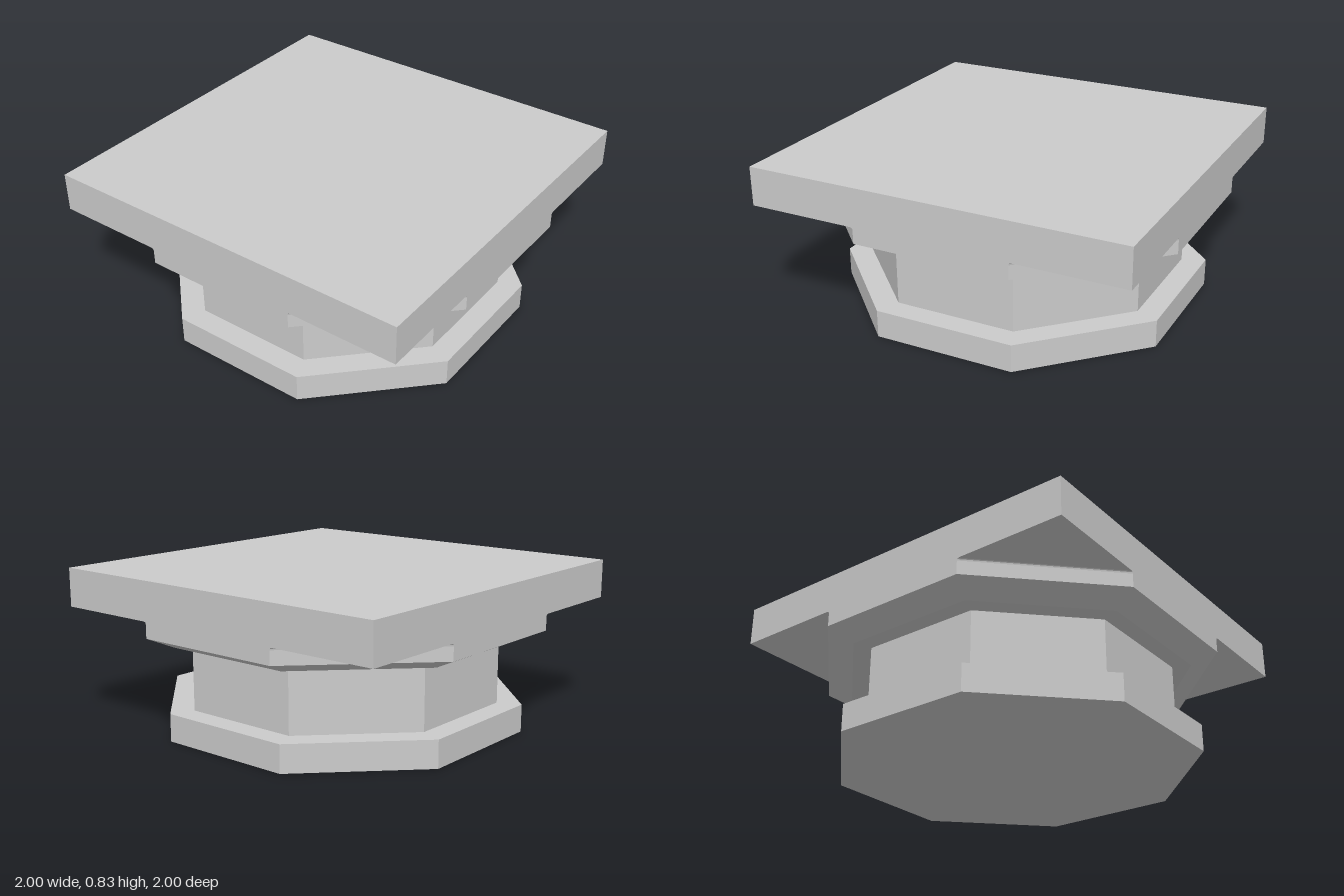
import * as THREE from 'three';

const T = Math.tan(Math.PI / 8); // half side / apothem of a regular octagon

// Closed solid through octagonal rings [y, apothem, half side], bottom to top
function octagonLoft(rings) {
  const loops = rings.map(([y, a, h = a * T]) =>
    [[h, a], [a, h], [a, -h], [h, -a], [-h, -a], [-a, -h], [-a, h], [-h, a]].map(([x, z]) => [x, y, z]));
  const pos = [];
  const tri = (...pts) => pts.forEach((p) => pos.push(...p));
  const low = loops[0], high = loops[loops.length - 1];
  for (let i = 0; i < 8; i++) {
    const j = (i + 1) % 8;
    for (let k = 0; k < loops.length - 1; k++) {
      const a = loops[k], b = loops[k + 1];
      tri(a[i], a[j], b[j], a[i], b[j], b[i]);
    }
    tri([0, high[0][1], 0], high[i], high[j]);
    tri([0, low[0][1], 0], low[j], low[i]);
  }
  const geo = new THREE.BufferGeometry();
  geo.setAttribute('position', new THREE.Float32BufferAttribute(pos, 3));
  geo.computeVertexNormals();
  return geo;
}

export function createModel() {
  const group = new THREE.Group();
  const material = new THREE.MeshStandardMaterial({ color: 0xcccccc, flatShading: true });
  const add = (name, geometry, y = 0) => {
    const mesh = new THREE.Mesh(geometry, material);
    mesh.name = name;
    mesh.position.y = y;
    group.add(mesh);
  };

  // Octagonal plinth and shaft
  add('basePlinth', octagonLoft([[0, 0.9], [0.145, 0.9]]));
  add('shaft', octagonLoft([[0.145, 0.78], [0.485, 0.78]]));

  // Flared collar, its chamfered corners ending in a tiny cove under the slab
  add('collar', octagonLoft([
    [0.485, 0.87], [0.545, 1], [0.617, 1],
    [0.624, 1, 0.416], [0.628, 1, 0.42], [0.63, 1, 0.43],
  ]));

  // Square top slab
  add('topSlab', new THREE.BoxGeometry(2, 0.205, 2), 0.7325);

  return group;
}
